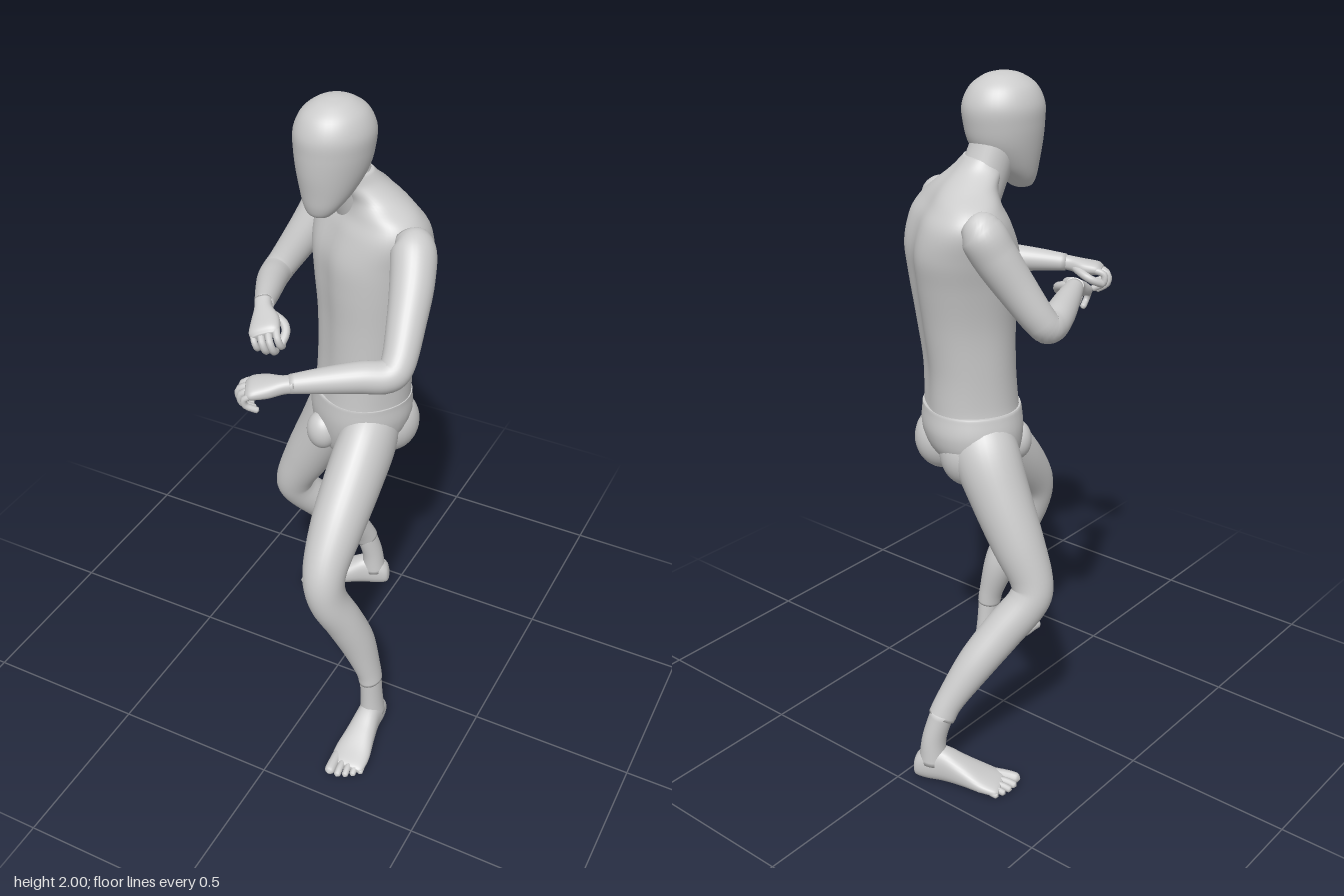
import * as THREE from 'three';

const material = new THREE.MeshStandardMaterial({ color: 0xcccccc, roughness: 0.7 });
const V = (x, y, z) => new THREE.Vector3(x, y, z);
const UP = V(0, 1, 0);

// Smooth skin through rows of [x, y, z, halfSide, halfDepth].
// side: direction of halfSide; axis: fixed ring normal (else the path tangent);
// power < 1 squares the section; shape(angle, t) scales the radius.
function loft(name, rows, { side = V(1, 0, 0), axis = null, power = 1, shape = null, steps = 6, segs = 32 } = {}) {
  const path = new THREE.CatmullRomCurve3(rows.map(r => V(r[0], r[1], r[2])), false, 'catmullrom');
  const size = new THREE.CatmullRomCurve3(rows.map(r => V(r[3], r[4] ?? r[3], 0)), false, 'catmullrom');
  const n = (rows.length - 1) * steps;
  const pos = [], idx = [];
  const bend = v => Math.sign(v) * Math.pow(Math.abs(v), power);
  for (let i = 0; i <= n; i++) {
    const t = i / n, c = path.getPoint(t), r = size.getPoint(t);
    const T = axis ? axis.clone() : path.getTangent(t);
    const S = side.clone().addScaledVector(T, -side.dot(T)).normalize();
    const N = T.clone().cross(S);
    for (let j = 0; j < segs; j++) {
      const a = j / segs * Math.PI * 2, k = shape ? shape(a, t) : 1;
      const p = c.clone()
        .addScaledVector(S, bend(Math.cos(a)) * Math.max(r.x, 0.0005) * k)
        .addScaledVector(N, bend(Math.sin(a)) * Math.max(r.y, 0.0005) * k);
      pos.push(p.x, p.y, p.z);
      if (i < n) {
        const a0 = i * segs + j, b0 = i * segs + (j + 1) % segs;
        idx.push(a0, b0, a0 + segs, b0, b0 + segs, a0 + segs);
      }
    }
  }
  // end caps
  const base = pos.length / 3, last = n * segs;
  pos.push(...path.getPoint(0).toArray(), ...path.getPoint(1).toArray());
  for (let j = 0; j < segs; j++) {
    const k = (j + 1) % segs;
    idx.push(base, k, j, base + 1, last + j, last + k);
  }
  const g = new THREE.BufferGeometry();
  g.setAttribute('position', new THREE.Float32BufferAttribute(pos, 3));
  g.setIndex(idx);
  g.computeVertexNormals();
  const m = new THREE.Mesh(g, material);
  m.name = name;
  return m;
}

function ellipsoid(name, center, radii, yaw = 0) {
  const m = new THREE.Mesh(new THREE.SphereGeometry(1, 28, 20), material);
  m.name = name;
  m.position.set(...center);
  m.scale.set(...radii);
  m.rotation.y = yaw;
  return m;
}

// Rounded finger or toe along a few points
function digit(name, pts, r) {
  const a = V(...pts[0]), z = V(...pts.at(-1)), d = z.clone().sub(V(...pts.at(-2))).normalize();
  const rows = pts.map(p => [...p, r]);
  rows.push([...z.clone().addScaledVector(d, r * 0.6).toArray(), r * 0.75]);
  rows.push([...z.clone().addScaledVector(d, r).toArray(), r * 0.1]);
  rows.unshift([...a.addScaledVector(V(...pts[1]).sub(a).normalize(), -r).toArray(), r * 0.6]);
  return loft(name, rows, { steps: 3, segs: 12 });
}

// Hand pointing along dir; thumb is +1 or -1 on the local x axis; curl 0..1
function hand(name, wrist, dir, back, thumb, curl) {
  const g = new THREE.Group();
  g.name = name;
  const z = dir.clone().normalize(), x = back.clone().cross(z).normalize(), y = z.clone().cross(x);
  g.quaternion.setFromRotationMatrix(new THREE.Matrix4().makeBasis(x, y, z));
  g.position.copy(wrist);
  g.add(loft('palm', [
    [0, 0, -0.02, 0.025, 0.023], [0, 0, 0.01, 0.026, 0.022], [thumb * 0.003, -0.002, 0.05, 0.04, 0.023],
    [0, 0, 0.09, 0.044, 0.019], [0, -0.004, 0.108, 0.036, 0.012],
  ], { axis: V(0, 0, 1), power: 0.85 }));
  for (let i = 0; i < 4; i++) {
    const fx = thumb * (0.033 - i * 0.022), l = [0.95, 1.05, 1, 0.85][i];
    const z0 = 0.098 - Math.abs(i - 1) * 0.005;
    g.add(digit('finger', [
      [fx, 0, z0 - 0.01], [fx, -0.008, z0 + 0.026 * l], [fx, -0.036 * l, z0 + 0.042 * l - curl * 0.012],
      [fx, -0.056 * l, z0 + 0.04 * l - curl * 0.035],
    ], 0.0105 - (i === 3 ? 0.0015 : 0)));
  }
  g.add(digit('thumb', [
    [thumb * 0.022, -0.008, 0.03], [thumb * 0.05, -0.018, 0.062],
    [thumb * 0.052, -0.028, 0.09], [thumb * 0.036, -0.036, 0.115],
  ], 0.0125));
  return g;
}

// Foot with its ankle at the origin, pointing along local +z; inner is the big toe side
function foot(name, x, z, yaw, inner) {
  const g = new THREE.Group();
  g.name = name;
  g.position.set(x, 0, z);
  g.rotation.y = yaw;
  g.add(loft('sole', [
    [0, 0.033, -0.062, 0.012, 0.014], [0, 0.042, -0.052, 0.03, 0.036], [0, 0.052, -0.02, 0.037, 0.051],
    [0, 0.055, 0.03, 0.038, 0.054], [0, 0.041, 0.09, 0.046, 0.04], [0, 0.026, 0.15, 0.056, 0.025],
    [0, 0.017, 0.195, 0.054, 0.016], [0, 0.015, 0.208, 0.045, 0.01],
  ], { axis: V(0, 0, 1), power: 0.85 }));
  for (let i = 0; i < 5; i++) {
    const r = i ? 0.0115 - i * 0.0006 : 0.016, tx = inner * [0.04, 0.014, -0.008, -0.028, -0.046][i];
    const end = [0.234, 0.236, 0.228, 0.216, 0.2][i];
    g.add(digit('toe', [[tx, 0.02, 0.17 - i * 0.005], [tx, 0.02, end - 0.025], [tx, r + 0.001, end]], r));
  }
  return g;
}

export function createModel() {
  const model = new THREE.Group();
  model.name = 'figure';
  const bodyLeft = V(0.8, 0, 0.6), hipLeft = V(0.85, 0, 0.53);

  // Torso with spine and breastbone grooves
  const dent = (a, c, w) => Math.exp(-(((a - c) / w) ** 2));
  model.add(loft('torso', [
    [0.022, 1.05, -0.118, 0.148, 0.134], [0.026, 1.1, -0.119, 0.146, 0.132], [0.03, 1.2, -0.122, 0.15, 0.13],
    [0.036, 1.33, -0.13, 0.16, 0.139], [0.036, 1.45, -0.139, 0.178, 0.151], [0.034, 1.54, -0.148, 0.195, 0.154],
    [0.034, 1.62, -0.152, 0.208, 0.13], [0.032, 1.67, -0.147, 0.185, 0.1], [0.025, 1.71, -0.132, 0.122, 0.082],
    [0.01, 1.75, -0.1, 0.078, 0.07], [-0.005, 1.785, -0.075, 0.062, 0.064],
  ], {
    side: bodyLeft, axis: UP, power: 0.88, segs: 56,
    shape: (a, t) => 1 - Math.sin(Math.PI * t) * (0.14 * dent(a, Math.PI / 2, 0.3) + 0.05 * dent(a, Math.PI * 1.5, 0.18)),
  }));
  model.add(loft('neck', [[0.01, 1.66, -0.12, 0.07], [-0.005, 1.74, -0.088, 0.066], [-0.022, 1.83, -0.055, 0.066]]));

  // Head, turned slightly to its right
  const head = loft('head', [
    [0, 1.682, 0.052, 0.012, 0.012], [0, 1.69, 0.052, 0.034, 0.03], [0, 1.715, 0.042, 0.054, 0.05],
    [0, 1.755, 0.022, 0.073, 0.077], [0, 1.81, 0.004, 0.09, 0.104], [0, 1.865, -0.002, 0.1, 0.114],
    [0, 1.915, -0.004, 0.102, 0.115], [0, 1.96, -0.004, 0.084, 0.094], [0, 1.988, -0.004, 0.051, 0.056],
    [0, 1.998, -0.004, 0.02, 0.022], [0, 2, -0.004, 0.001, 0.001],
  ], { axis: UP, segs: 40 });
  head.position.set(-0.022, 0, -0.025);
  head.rotation.y = -0.35;
  model.add(head);

  // Pelvis, buttocks and front
  model.add(loft('pelvis', [
    [0, 0.86, -0.085, 0.03, 0.045], [0.003, 0.89, -0.1, 0.09, 0.09], [0.012, 0.95, -0.118, 0.142, 0.128],
    [0.018, 1.01, -0.122, 0.157, 0.142], [0.022, 1.065, -0.119, 0.153, 0.139], [0.024, 1.078, -0.118, 0.151, 0.137],
  ], { side: hipLeft, axis: UP, power: 0.92 }));
  model.add(ellipsoid('leftButtock', [0.105, 0.955, -0.145], [0.078, 0.098, 0.088], -0.55));
  model.add(ellipsoid('rightButtock', [-0.015, 0.95, -0.185], [0.082, 0.1, 0.08], -0.55));
  model.add(ellipsoid('groin', [-0.062, 0.945, -0.02], [0.05, 0.06, 0.045], -0.55));

  // Legs
  model.add(loft('leftLeg', [
    [0.075, 1.02, -0.11, 0.07, 0.085], [0.083, 0.95, -0.035, 0.083, 0.108], [0.086, 0.87, 0.065, 0.084, 0.099],
    [0.087, 0.77, 0.175, 0.078, 0.085], [0.091, 0.665, 0.262, 0.064, 0.068], [0.106, 0.575, 0.272, 0.057, 0.062],
    [0.14, 0.47, 0.235, 0.057, 0.06], [0.17, 0.37, 0.203, 0.053, 0.057], [0.2, 0.26, 0.188, 0.038, 0.044],
    [0.209, 0.21, 0.185, 0.035, 0.041],
  ]));
  model.add(loft('rightLeg', [
    [-0.035, 1.03, -0.155, 0.075, 0.085], [-0.075, 0.95, -0.172, 0.09, 0.095], [-0.128, 0.84, -0.176, 0.088, 0.087],
    [-0.192, 0.71, -0.175, 0.076, 0.076], [-0.24, 0.605, -0.172, 0.061, 0.062], [-0.242, 0.545, -0.19, 0.057, 0.06],
    [-0.198, 0.46, -0.25, 0.057, 0.06], [-0.153, 0.365, -0.32, 0.053, 0.055], [-0.113, 0.26, -0.388, 0.038, 0.042],
    [-0.1, 0.21, -0.413, 0.035, 0.04],
  ], { side: V(0.6, 0, 0.8) }));
  model.add(loft('leftAnkle', [[0.208, 0.225, 0.185, 0.033, 0.038], [0.211, 0.14, 0.18, 0.033, 0.039], [0.212, 0.06, 0.175, 0.038, 0.045]]));
  model.add(loft('rightAnkle', [[-0.102, 0.225, -0.41, 0.034, 0.037], [-0.084, 0.14, -0.428, 0.034, 0.038], [-0.08, 0.06, -0.432, 0.042, 0.04]]));
  model.add(foot('leftFoot', 0.212, 0.18, 0.06, -1));
  model.add(foot('rightFoot', -0.085, -0.43, Math.atan2(-0.92, 0.38), 1));

  // Arms
  model.add(loft('leftArm', [
    [0.185, 1.645, -0.04, 0.035], [0.215, 1.625, -0.015, 0.06], [0.24, 1.565, 0.04, 0.06], [0.259, 1.49, 0.11, 0.053],
    [0.274, 1.405, 0.19, 0.046], [0.257, 1.38, 0.222, 0.045], [0.2, 1.382, 0.26, 0.043], [0.12, 1.378, 0.311, 0.035],
    [0.045, 1.372, 0.358, 0.026],
  ], { side: V(0.3, 0.9, 0.4) }));
  model.add(loft('rightArm', [
    [-0.11, 1.65, -0.275, 0.035], [-0.142, 1.63, -0.272, 0.06], [-0.168, 1.57, -0.25, 0.061], [-0.207, 1.49, -0.216, 0.055],
    [-0.262, 1.39, -0.172, 0.046], [-0.27, 1.37, -0.14, 0.045], [-0.25, 1.38, -0.075, 0.043], [-0.215, 1.393, 0.01, 0.036],
    [-0.18, 1.405, 0.093, 0.026],
  ], { side: V(0.7, 0.5, -0.5) }));
  model.add(hand('leftHand', V(0.04, 1.371, 0.361), V(-0.13, -0.018, 0.062), V(0, 1, 0.1), -1, 1));
  model.add(hand('rightHand', V(-0.178, 1.405, 0.098), V(0.07, -0.045, 0.12), V(-0.25, 1, 0.2), 1, 0.6));
  return model;
}
